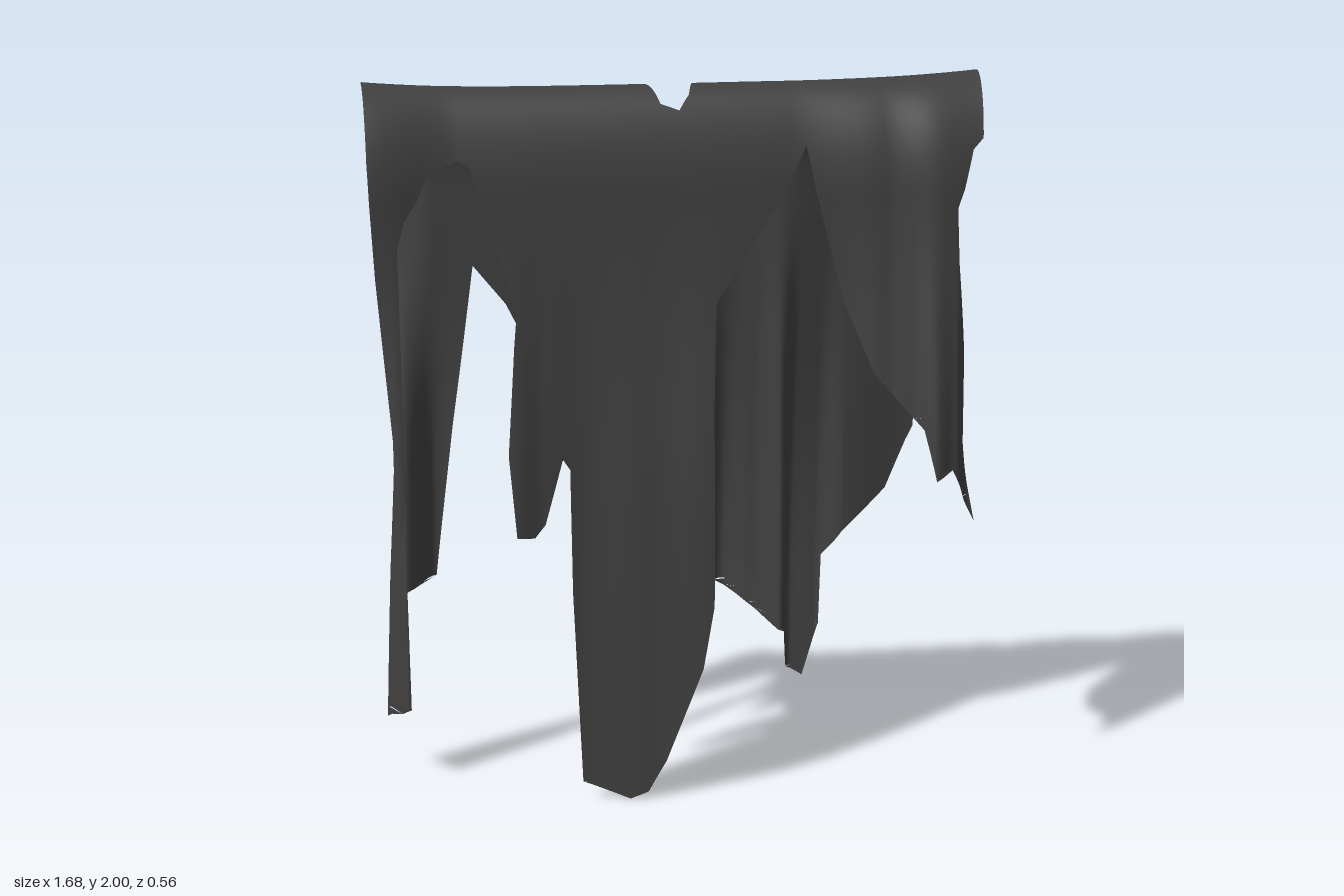
import * as THREE from 'three';

// The cloth is cut flat in (x, v): v < 2 hangs in front (v = height),
// v = 2 is the ridge, v > 2 hangs behind (height = 4 - v).
const FOLD = 0.3;
const COLUMN = 0.0125;

// Depth of the cloth across the width as [x, z], just under the ridge and at the hem
const frontShoulder = [[-0.845, 0.175], [-0.6, 0.125], [0.3, 0.125], [0.55, 0.16], [0.7, 0.19], [0.84, 0.175]];
const backShoulder = [[-0.845, -0.22], [-0.78, -0.2], [-0.65, -0.145], [0, -0.15], [0.2, -0.17],
  [0.34, -0.145], [0.52, -0.18], [0.75, -0.2], [0.84, -0.19]];
const frontFolds = [[-0.845, 0.18], [-0.77, 0.22], [-0.6, 0.125], [-0.46, 0.16], [-0.38, 0.14],
  [-0.28, 0.13], [-0.1, 0.16], [0.08, 0.19], [0.3, 0.12], [0.4, 0.135], [0.55, 0.21],
  [0.62, 0.23], [0.68, 0.28], [0.74, 0.25], [0.8, 0.15], [0.84, 0.15]];
const backFolds = [[-0.845, -0.2], [-0.8, -0.17], [-0.745, -0.06], [-0.65, -0.21], [-0.54, -0.15],
  [-0.2, -0.15], [-0.14, -0.19], [-0.08, -0.16], [0, -0.17], [0.1, -0.2], [0.18, -0.28],
  [0.26, -0.23], [0.33, -0.13], [0.38, -0.26], [0.45, -0.25], [0.52, -0.19], [0.72, -0.22], [0.84, -0.2]];

// Torn outline: front hem from left to right, then back hem from right to left
const frontEdge = [[-0.845, 2], [-0.845, 1.77], [-0.83, 1.5], [-0.785, 0.95], [-0.78, 0.78], [-0.765, 0.92],
  [-0.77, 1.58], [-0.75, 1.65], [-0.68, 1.75], [-0.6, 1.77], [-0.57, 1.755], [-0.45, 1.41],
  [-0.46, 1.3], [-0.48, 1.0], [-0.46, 0.77], [-0.41, 0.765], [-0.38, 0.8], [-0.33, 0.98],
  [-0.31, 0.95], [-0.305, 0.6], [-0.28, 0.05], [-0.15, 0], [-0.1, 0.02], [-0.05, 0.11],
  [0.05, 0.38], [0.08, 0.56], [0.08, 1.1], [0.09, 1.4], [0.34, 1.785], [0.37, 1.68],
  [0.44, 1.4], [0.52, 1.2], [0.65, 1.05], [0.68, 0.91], [0.73, 0.935], [0.82, 0.76],
  [0.77, 1.0], [0.77, 1.25], [0.75, 1.5], [0.745, 1.65], [0.79, 1.77], [0.82, 1.79], [0.84, 2]];
const backEdge = [[0.8, 1.77], [0.75, 1.65], [0.735, 1.5], [0.74, 1.25], [0.73, 0.95], [0.71, 0.91],
  [0.65, 0.77], [0.52, 0.65], [0.47, 0.57], [0.465, 0.36], [0.42, 0.2], [0.37, 0.23],
  [0.35, 0.36], [0.22, 0.46], [0.08, 0.55], [-0.07, 0.73], [-0.12, 0.82], [-0.14, 0.58],
  [-0.3, 1.06], [-0.45, 1.36], [-0.54, 1.47], [-0.6, 1.02], [-0.65, 0.57], [-0.745, 0.565],
  [-0.74, 0.22], [-0.8, 0.17], [-0.785, 0.6], [-0.77, 0.9], [-0.77, 1.4], [-0.8, 1.77]];
const outline = [...frontEdge, ...backEdge.map(([x, y]) => [x, 4 - y])];

// Neck opening with the slit running down the back
const opening = [[0, 1.87], [-0.05, 1.89], [-0.08, 2], [-0.08, 2.11], [-0.04, 2.26], [0, 2.45],
  [0.08, 2.79], [0.09, 2.36], [0.06, 2.27], [0.07, 2.12], [0.03, 1.92]];

function depthAt(profile, x) {
  let i = 0;
  while (i < profile.length - 2 && x > profile[i + 1][0]) i++;
  const [a, b] = [profile[i], profile[i + 1]];
  return THREE.MathUtils.lerp(a[1], b[1], THREE.MathUtils.smoothstep(x, a[0], b[0]));
}

// Drapes a flat point over the ridge; the folds deepen on the way down
function drape(x, v) {
  const front = v < 2;
  const reach = depthAt(front ? frontShoulder : backShoulder, x);
  const hem = depthAt(front ? frontFolds : backFolds, x);
  const d = Math.abs(2 - v);
  const a = Math.min(d / FOLD, 1) * Math.PI / 2;
  const lift = 0.02 * Math.abs(x / 0.84) ** 4;
  const y = d < FOLD ? 1.7 + (0.28 + lift) * Math.cos(a) : 2 - d;
  const hang = front ? THREE.MathUtils.smoothstep(1.8 - y, 0, 1) : THREE.MathUtils.smoothstep(1.65 - y, 0, 1.15);
  return new THREE.Vector3(x, y, reach * Math.sin(a) + (hem - reach) * hang);
}

function drapeNormal(x, v) {
  const e = 0.006;
  const dx = drape(x + e, v).sub(drape(x - e, v));
  const dv = drape(x, v + e).sub(drape(x, v - e));
  return dx.cross(dv).normalize();
}

// Slices the cut cloth into thin rows and fills each row between its edges
function clothGeometry(loops) {
  const edges = loops.flatMap((loop) => loop.map((p, i) => [p, loop[(i + 1) % loop.length]]));
  const levels = loops.flat().map((p) => p[1]);
  for (let v = 0; v <= 4; v += 0.02) levels.push(v);
  levels.sort((a, b) => a - b);

  const position = [], normal = [], index = [];
  const xAt = ([a, b], v) => a[0] + (b[0] - a[0]) * (v - a[1]) / (b[1] - a[1]);
  const addPoint = (x, v) => {
    position.push(...drape(x, v).toArray());
    normal.push(...drapeNormal(x, v).toArray());
  };
  for (let k = 0; k < levels.length - 1; k++) {
    const lo = levels[k], hi = levels[k + 1], mid = (lo + hi) / 2;
    if (hi - lo < 1e-6) continue;
    const hits = edges.filter(([a, b]) => (a[1] < mid) !== (b[1] < mid))
      .sort((p, q) => xAt(p, mid) - xAt(q, mid));
    for (let h = 0; h + 1 < hits.length; h += 2) {
      // Torn edges at both ends, shared columns in between
      const ends = [hits[h], hits[h + 1]].map((edge) => [xAt(edge, lo), xAt(edge, hi)]);
      const last = Math.min(...ends[1]) - 1e-4;
      const columns = [ends[0]];
      for (let c = Math.ceil((Math.max(...ends[0]) + 1e-4) / COLUMN); c * COLUMN < last; c++) {
        columns.push([c * COLUMN, c * COLUMN]);
      }
      columns.push(ends[1]);
      columns.forEach(([xLo, xHi], i) => {
        const base = position.length / 3;
        addPoint(xLo, lo);
        addPoint(xHi, hi);
        if (i > 0) index.push(base - 2, base, base + 1, base - 2, base + 1, base - 1);
      });
    }
  }
  const geometry = new THREE.BufferGeometry();
  geometry.setAttribute('position', new THREE.Float32BufferAttribute(position, 3));
  geometry.setAttribute('normal', new THREE.Float32BufferAttribute(normal, 3));
  geometry.setIndex(index);
  return geometry;
}

export function createModel() {
  const group = new THREE.Group();
  group.name = 'tatteredTunic';
  const material = new THREE.MeshStandardMaterial({ color: 0x404040, side: THREE.DoubleSide });
  const cloth = new THREE.Mesh(clothGeometry([outline, opening]), material);
  cloth.name = 'drapedCloth';
  group.add(cloth);
  return group;
}
